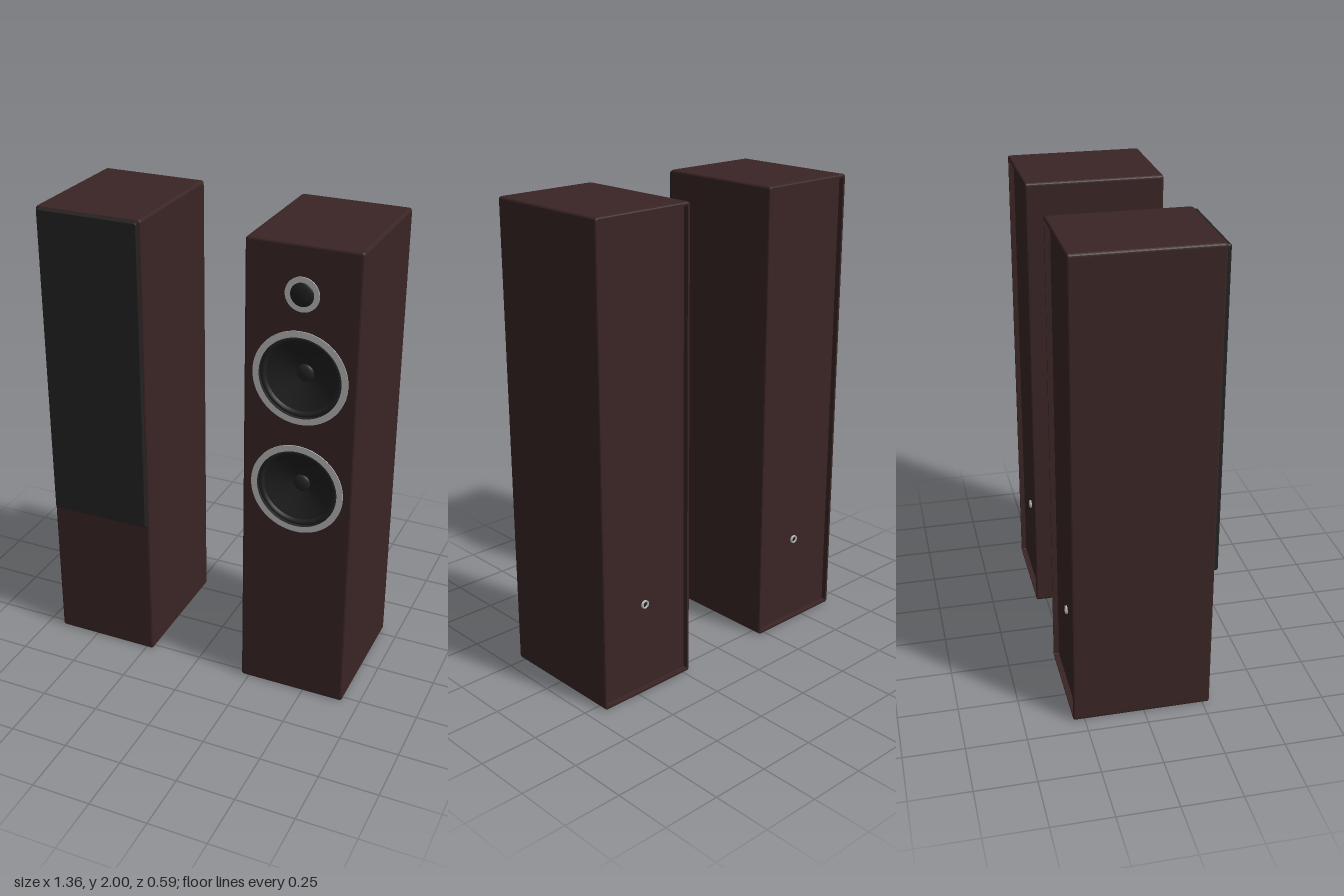
import * as THREE from 'three';

const WIDTH = 0.462, FRONT = 0.28, BACK = -0.297, OFFSET = 0.447;

const material = (name, color) => {
  const m = new THREE.MeshStandardMaterial({ color });
  m.name = name;
  return m;
};

function addMesh(parent, name, geometry, mat, x = 0, y = 0, z = 0) {
  const mesh = new THREE.Mesh(geometry, mat);
  mesh.name = name;
  mesh.position.set(x, y, z);
  parent.add(mesh);
  return mesh;
}

// Rounded rectangle outline, counter-clockwise, shrunk by an inset
function outline(w, h, inset, radius) {
  const r = Math.max(radius - inset, 0.002), pts = [];
  const cx = w / 2 - inset - r, cy = h / 2 - inset - r;
  [[1, 1], [-1, 1], [-1, -1], [1, -1]].forEach(([sx, sy], q) => {
    for (let i = 0; i <= 4; i++) {
      const a = (q + i / 4) * Math.PI / 2;
      pts.push(new THREE.Vector2(sx * cx + r * Math.cos(a), sy * cy + r * Math.sin(a)));
    }
  });
  return pts;
}

// Skin through a row of outlines running from front to back: [inset, z]
function loft(w, h, radius, rings) {
  const pos = [], index = [];
  let n = 0;
  for (const [inset, z] of rings) {
    const pts = outline(w, h, inset, radius);
    n = pts.length;
    pts.forEach(p => pos.push(p.x, p.y, z));
  }
  for (let k = 0; k < rings.length - 1; k++) {
    for (let j = 0; j < n; j++) {
      const a = k * n + j, b = k * n + (j + 1) % n;
      index.push(a, a + n, b, b, a + n, b + n);
    }
  }
  const g = new THREE.BufferGeometry();
  g.setAttribute('position', new THREE.Float32BufferAttribute(pos, 3));
  g.setIndex(index);
  const flat = g.toNonIndexed();
  flat.computeVertexNormals();
  return flat;
}

// Turned part facing +z; profile of [radius, z] runs from rim to centre
function turned(profile, segments = 64) {
  const pts = profile.map(([r, z]) => new THREE.Vector2(r, z));
  return new THREE.LatheGeometry(pts, segments).rotateX(Math.PI / 2);
}

// Spherical cap profile
const dome = (r, height, z) => Array.from({ length: 9 }, (_, i) => {
  const a = i / 8 * Math.PI / 2;
  return [r * Math.cos(a), z + height * Math.sin(a)];
});

// Cabinet shell with softened edges and a recessed back
function cabinet(mats, holes) {
  const group = new THREE.Group();
  addMesh(group, 'cabinetWalls', loft(WIDTH, 2, 0.012, [
    [0.008, FRONT], [0.0025, FRONT - 0.0025], [0, FRONT - 0.008],
    [0, BACK + 0.006], [0.002, BACK + 0.002], [0.006, BACK],
    [0.014, BACK], [0.014, BACK + 0.022],
  ]), mats.wood, 0, 1, 0);

  const face = new THREE.Shape(outline(WIDTH, 2, 0.008, 0.012));
  for (const [y, r] of holes) {
    face.holes.push(new THREE.Path().absarc(0, y - 1, r, 0, Math.PI * 2, true));
  }
  addMesh(group, 'frontBaffle', new THREE.ShapeGeometry(face, 48), mats.wood, 0, 1, FRONT);

  const rear = new THREE.Shape(outline(WIDTH, 2, 0.014, 0.012));
  addMesh(group, 'backPanel', new THREE.ShapeGeometry(rear).rotateY(Math.PI), mats.wood, 0, 1, BACK + 0.022);

  // Cable socket on the back
  const socket = new THREE.Group();
  socket.name = 'cableSocket';
  socket.position.set(0, 0.39, BACK + 0.022);
  socket.rotation.y = Math.PI;
  addMesh(socket, 'socketRing', turned([[0.018, 0], [0.018, 0.008], [0.011, 0.008], [0.011, 0]], 24), mats.metal);
  addMesh(socket, 'socketCore', turned([[0.011, 0.003], [0, 0.003]], 24), mats.cone);
  group.add(socket);
  return group;
}

// Bass driver: metal ring, rubber surround, recessed cone and dust cap
function woofer(mats) {
  const g = new THREE.Group();
  g.name = 'woofer';
  addMesh(g, 'wooferRing', turned([[0.194, 0], [0.194, 0.004]]), mats.metal);
  addMesh(g, 'wooferRingFace', turned([[0.194, 0.004], [0.168, 0.004]]), mats.metal);
  addMesh(g, 'wooferRingInside', turned([[0.168, 0.004], [0.168, -0.012]]), mats.rubber);
  addMesh(g, 'wooferSurround', turned([
    [0.168, -0.012], [0.163, -0.006], [0.156, -0.004], [0.149, -0.008], [0.145, -0.016],
  ]), mats.rubber);
  addMesh(g, 'wooferCone', turned([[0.145, -0.016], [0.1, -0.036], [0.06, -0.05], [0.034, -0.058]]), mats.cone);
  addMesh(g, 'dustCap', turned(dome(0.036, 0.016, -0.058), 32), mats.rubber);
  return g;
}

// Treble driver: metal ring with a small proud dome
function tweeter(mats) {
  const g = new THREE.Group();
  g.name = 'tweeter';
  addMesh(g, 'tweeterRing', turned([[0.069, 0], [0.069, 0.004]]), mats.metal);
  addMesh(g, 'tweeterRingFace', turned([[0.069, 0.004], [0.047, 0.004]]), mats.metal);
  addMesh(g, 'tweeterDome', turned(dome(0.048, 0.014, 0.002), 40), mats.cone);
  return g;
}

export function createModel() {
  const model = new THREE.Group();
  model.name = 'speakerPair';
  const mats = {
    wood: material('dark wood', 0x3a2525),
    cloth: material('grille cloth', 0x242424),
    metal: material('silver trim', 0xbababa),
    cone: material('black cone', 0x1f1f1f),
    rubber: material('black rubber', 0x232323),
  };

  // Open speaker with its drivers showing
  const wooferHeights = [0.985, 1.468];
  const open = cabinet(mats, wooferHeights.map(y => [y, 0.175]));
  open.name = 'openSpeaker';
  open.position.x = OFFSET;
  for (const y of wooferHeights) {
    const w = woofer(mats);
    w.position.set(0, y, FRONT);
    open.add(w);
  }
  const t = tweeter(mats);
  t.position.set(0, 1.808, FRONT);
  open.add(t);

  // Covered speaker with a cloth grille
  const covered = cabinet(mats, []);
  covered.name = 'coveredSpeaker';
  covered.position.x = -OFFSET;
  const gw = 0.442, gh = 1.352, gy = 0.64 + gh / 2, gz = 0.296;
  addMesh(covered, 'grilleEdge', loft(gw, gh, 0.008, [[0.004, gz], [0, gz - 0.004], [0, FRONT - 0.002]]), mats.cloth, 0, gy, 0);
  addMesh(covered, 'grilleFace', new THREE.ShapeGeometry(new THREE.Shape(outline(gw, gh, 0.004, 0.008))), mats.cloth, 0, gy, gz);

  model.add(open, covered);
  return model;
}
